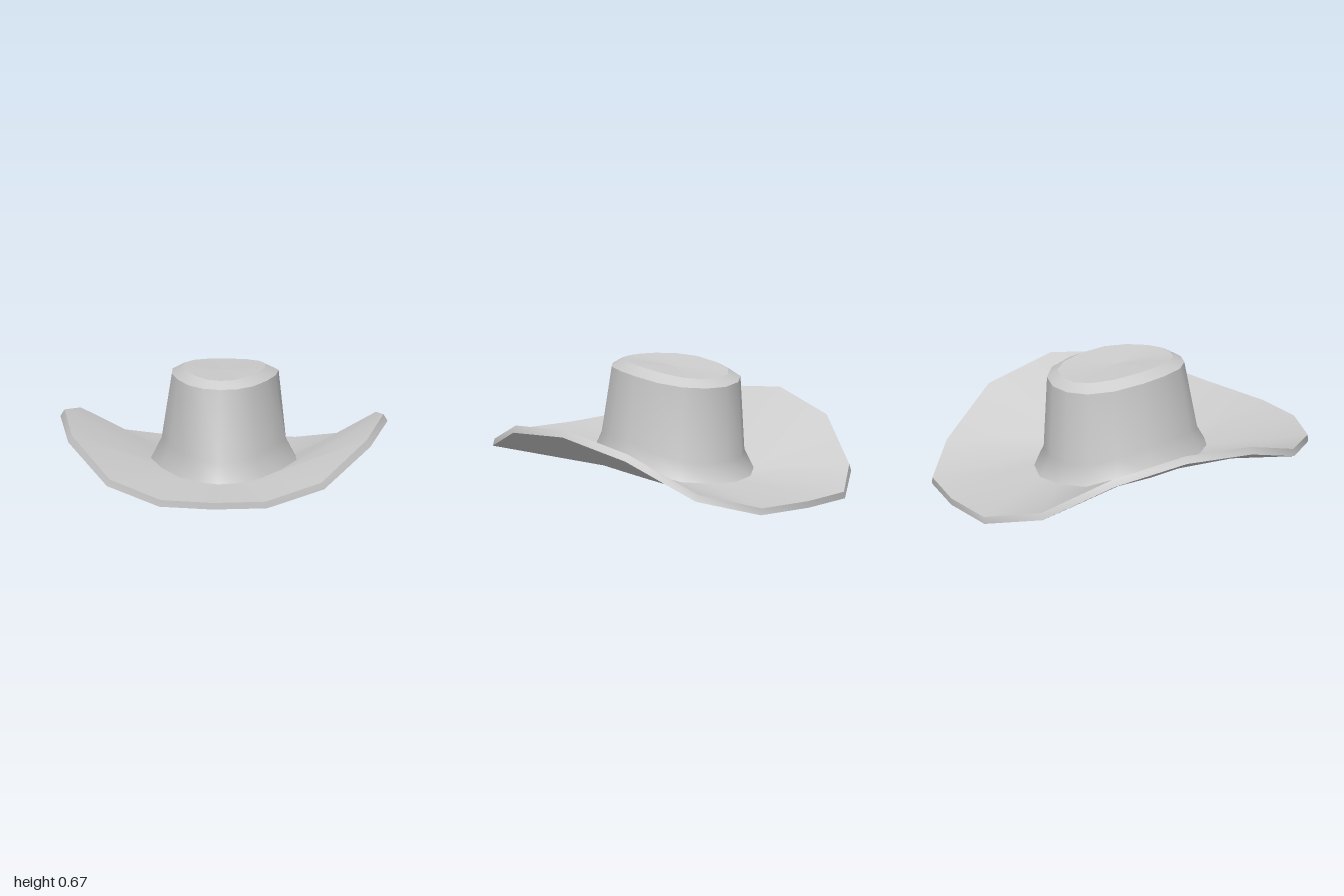
import * as THREE from 'three';

const material = new THREE.MeshStandardMaterial({ color: 0xcccccc });

// Mirrors a half outline (back to front along +x) into a closed 16-point ring.
function ring(half) {
  const other = half.slice(1, -1).reverse().map(([x, y, z]) => [-x, y, z]);
  return [...half, ...other];
}

// Copies a ring, scaled in x and z about a point on the z axis and shifted in y.
function offset(points, sx, sz, dy, cz = 0) {
  return points.map(([x, y, z]) => [x * sx, y + dy, cz + (z - cz) * sz]);
}

// Shrinks a ring to one point, for closing a cap.
const centre = (y, z) => Array.from({ length: 16 }, () => [0, y, z]);

// Smooth skin through a list of rings; neighbouring parts meet in sharp edges.
function loft(name, rings) {
  const n = rings[0].length;
  const index = [];
  for (let r = 0; r < rings.length - 1; r++) {
    for (let i = 0; i < n; i++) {
      const j = (i + 1) % n;
      const a = r * n + i, b = r * n + j, c = a + n, d = b + n;
      index.push(a, c, d, a, d, b);
    }
  }
  const geometry = new THREE.BufferGeometry();
  geometry.setAttribute('position', new THREE.Float32BufferAttribute(rings.flat(2), 3));
  geometry.setIndex(index);
  geometry.computeVertexNormals();
  const mesh = new THREE.Mesh(geometry, material);
  mesh.name = name;
  return mesh;
}

export function createModel() {
  // Brim outline, curled up at the sides
  const rimLow = ring([
    [0, 0.005, -1], [0.33, 0.005, -0.96], [0.61, 0.09, -0.75],
    [0.80, 0.29, -0.42], [0.865, 0.38, -0.03], [0.80, 0.345, 0.38],
    [0.575, 0.2, 0.73], [0.285, 0.148, 0.945], [0, 0.15, 0.995],
  ]);
  const rimTop = offset(rimLow, 0.975, 1, 0.036);

  // Crown rings from the brim upwards
  const base = ring([
    [0, 0.08, -0.485], [0.155, 0.085, -0.445], [0.285, 0.10, -0.35],
    [0.367, 0.14, -0.2], [0.385, 0.165, -0.01], [0.32, 0.165, 0.19],
    [0.215, 0.155, 0.35], [0.11, 0.15, 0.435], [0, 0.15, 0.47],
  ]);
  const flare = ring([
    [0, 0.18, -0.425], [0.135, 0.185, -0.4], [0.25, 0.2, -0.315],
    [0.318, 0.24, -0.18], [0.328, 0.28, -0.005], [0.275, 0.28, 0.165],
    [0.19, 0.265, 0.305], [0.1, 0.255, 0.385], [0, 0.25, 0.412],
  ]);
  const shoulder = ring([
    [0, 0.58, -0.41], [0.125, 0.585, -0.385], [0.225, 0.595, -0.31],
    [0.28, 0.61, -0.18], [0.275, 0.625, -0.01], [0.235, 0.63, 0.13],
    [0.17, 0.63, 0.25], [0.09, 0.63, 0.315], [0, 0.63, 0.335],
  ]);
  const top = ring([
    [0, 0.622, -0.355], [0.1, 0.625, -0.335], [0.175, 0.635, -0.265],
    [0.215, 0.65, -0.15], [0.217, 0.665, -0.01], [0.185, 0.67, 0.105],
    [0.13, 0.668, 0.205], [0.07, 0.665, 0.26], [0, 0.664, 0.275],
  ]);

  // Inside of the crown, one wall thickness in
  const opening = offset(base, 0.95, 0.96, -0.04);
  const innerFlare = offset(flare, 0.9, 0.92, -0.02);
  const innerShoulder = offset(shoulder, 0.88, 0.9, -0.03, -0.03);
  const innerTop = offset(top, 0.9, 0.9, -0.04, -0.03);

  const hat = new THREE.Group();
  hat.name = 'hat';
  hat.add(
    loft('brimUnderside', [opening, rimLow]),
    loft('brimEdge', [rimLow, rimTop]),
    loft('brimTop', [rimTop, base]),
    loft('crownWall', [base, flare, shoulder]),
    loft('crownBevel', [shoulder, top]),
    loft('crownTop', [top, centre(0.648, -0.03)]),
    loft('crownLining', [centre(0.608, -0.03), innerTop, innerShoulder, innerFlare, opening]),
  );
  return hat;
}
